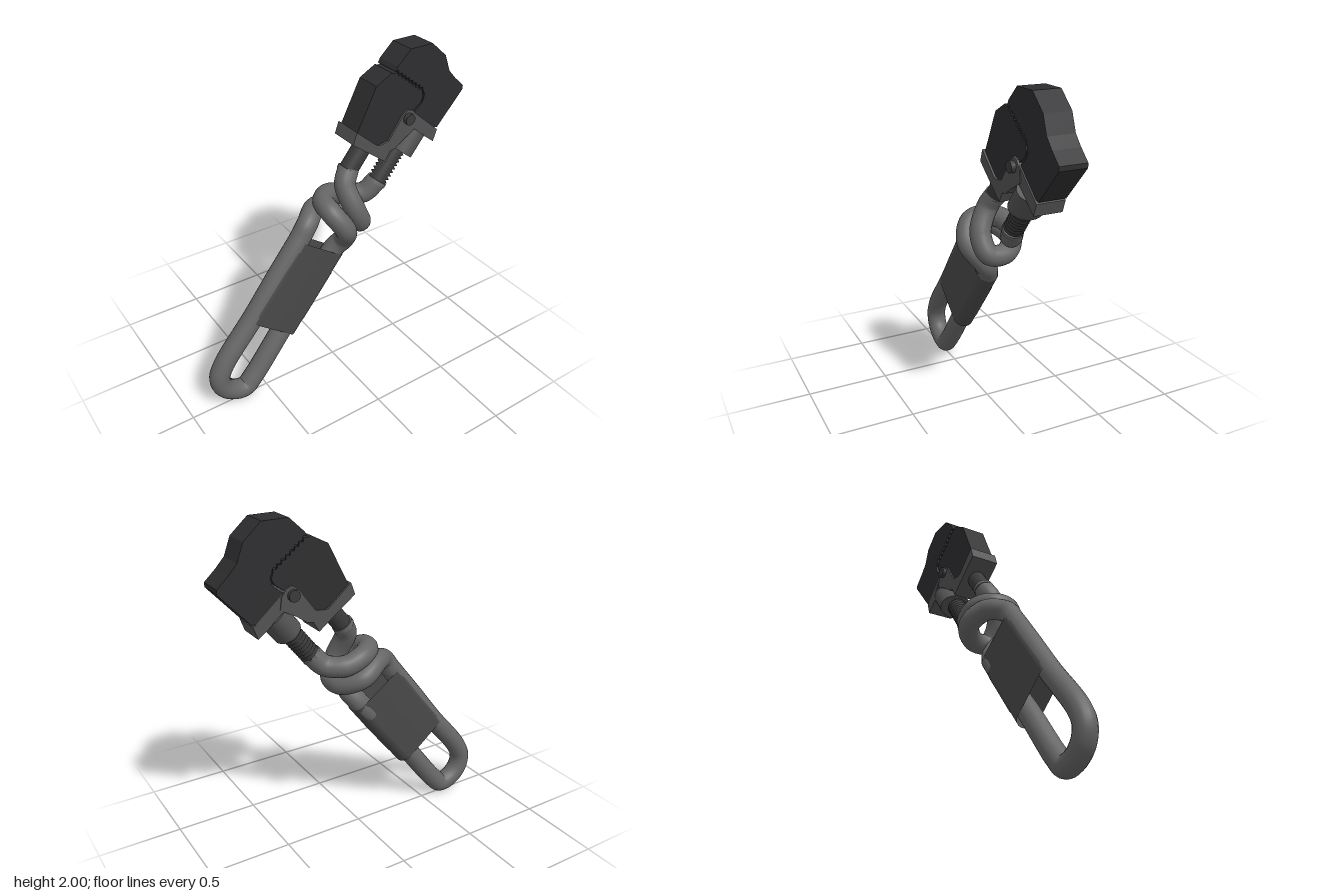
import * as THREE from 'three';

const V = (x, y, z = 0) => new THREE.Vector3(x, y, z);
const mat = (color, side = THREE.FrontSide) => new THREE.MeshStandardMaterial({ color, side });
const PIPE = mat(0x666666), JAW = mat(0x2e2e30), STEEL = mat(0x525252), DARK = mat(0x3a3a3a);
const TAPE = mat(0x484848, THREE.DoubleSide);
const LEAN = -0.668; // tilt of the whole tool

function part(parent, name, geometry, material) {
  const m = new THREE.Mesh(geometry, material);
  m.name = name;
  parent.add(m);
  return m;
}

// flat outline with thickness, centred on z
function plate(points, depth, z = -0.006) {
  const g = new THREE.ExtrudeGeometry(new THREE.Shape(points.map(p => new THREE.Vector2(...p))),
    { depth, bevelEnabled: false });
  return g.translate(0, 0, z - depth / 2);
}

// rod between two points
function rod(parent, name, a, b, r, material, geometry) {
  const d = b.clone().sub(a);
  const m = part(parent, name, geometry || new THREE.CylinderGeometry(r, r, d.length(), 24), material);
  m.position.copy(a).add(b).multiplyScalar(0.5);
  m.quaternion.setFromUnitVectors(V(0, 1, 0), d.normalize());
  return m;
}

// zigzag from a to b, shifted along its normal
function teeth(a, b, n, amp, shift) {
  const dx = b[0] - a[0], dy = b[1] - a[1], l = Math.hypot(dx, dy);
  const nx = -dy / l, ny = dx / l, pts = [];
  for (let i = 0; i <= 2 * n; i++) {
    const t = i / (2 * n), h = shift + (i % 2 ? amp : 0);
    pts.push([a[0] + dx * t + nx * h, a[1] + dy * t + ny * h]);
  }
  return pts;
}

// one turn of tape: a stadium-shaped sleeve with slanted ends
function tapeBand(lowL, highL, lowR, highR, r) {
  const g = new THREE.CylinderGeometry(1, 1, 1, 40, 1, true), p = g.attributes.position;
  for (let i = 0; i < p.count; i++) {
    const c = p.getX(i), s = p.getZ(i), top = p.getY(i) > 0;
    const x = (Math.abs(c) < 1e-6 ? 0 : Math.sign(c) * 0.131) + c * r;
    const t = (x + 0.2) / 0.4;
    p.setXYZ(i, x, THREE.MathUtils.lerp(top ? highL : lowL, top ? highR : lowR, t), s * r);
  }
  g.computeVertexNormals();
  return g;
}

export function createModel() {
  const root = new THREE.Group();
  root.name = 'wrench';

  // one bent pipe: left strand, knot, handle loop, knot, right strand
  const path = new THREE.CatmullRomCurve3([
    V(0.105, 1.345), V(0.065, 1.27, 0.03), V(0.095, 1.13, 0.09), V(0.15, 1.015, 0.065),
    V(0.145, 1.0, -0.04), V(0.05, 1.05, -0.13), V(-0.07, 1.105, -0.085), V(-0.165, 1.075, -0.01),
    V(-0.225, 1.0), V(-0.39, 0.79), V(-0.55, 0.58), V(-0.77, 0.31),
    V(-0.805, 0.22), V(-0.785, 0.14), V(-0.72, 0.08), V(-0.645, 0.065), V(-0.58, 0.125),
    V(-0.35, 0.42), V(-0.17, 0.63), V(0.005, 0.84), V(0.05, 0.92, 0.045),
    V(0.0, 1.05, 0.128), V(-0.06, 1.155, 0.075), V(-0.05, 1.175, -0.02), V(0.03, 1.165, -0.09),
    V(0.14, 1.13, -0.09), V(0.24, 1.135, -0.03), V(0.31, 1.205),
  ], false, 'centripetal');
  part(root, 'bentPipe', new THREE.TubeGeometry(path, 360, 0.062, 18), PIPE);

  // closed pipe ends and the plain shank
  rod(root, 'leftPipeEnd', V(0.095, 1.33), V(0.11, 1.352), 0.062, PIPE);
  rod(root, 'rightPipeEnd', V(0.30, 1.192), V(0.315, 1.211), 0.062, PIPE);
  rod(root, 'jawShank', V(0.1, 1.335), V(0.23, 1.5), 0.055, DARK);

  // threaded shank
  const a = V(0.30, 1.19), b = V(0.46, 1.395), len = a.distanceTo(b), profile = [], turns = 11;
  for (let i = 0; i <= turns * 2; i++)
    profile.push(new THREE.Vector2(i % 2 ? 0.06 : 0.045, (i / (turns * 2) - 0.5) * len));
  rod(root, 'threadedShank', a, b, 0, DARK, new THREE.LatheGeometry(profile, 24));

  // tape wound round both legs of the handle
  const tape = new THREE.Group();
  tape.name = 'handleTape';
  tape.position.set(-0.278, 0.69, 0);
  tape.rotation.z = LEAN;
  root.add(tape);
  [[-0.28, -0.10, -0.285, -0.10, 0.0655], [-0.24, 0.0, -0.16, -0.02, 0.068],
    [-0.09, 0.13, -0.02, 0.07, 0.0665], [0.0, 0.22, -0.03, 0.155, 0.068],
    [0.12, 0.27, 0.04, 0.29, 0.0655]].forEach(v => part(tape, 'tapeBand', tapeBand(...v), TAPE));

  // jaws with matching teeth
  const t0 = [0.358, 1.89], t1 = [0.562, 1.732];
  part(root, 'upperJaw', plate([
    ...teeth(t0, t1, 8, 0.016, 0.005), [0.577, 1.71], [0.565, 1.665], [0.512, 1.622], [0.49, 1.56],
    [0.52, 1.52], [0.69, 1.475], [0.865, 1.67], [0.865, 1.695], [0.80, 1.755], [0.75, 1.81],
    [0.712, 1.91], [0.61, 2.0], [0.46, 2.0], [0.375, 1.92]], 0.158, -0.01), JAW);
  part(root, 'lowerJaw', plate([
    ...teeth(t0, t1, 8, 0.016, -0.006), [0.567, 1.70], [0.552, 1.668], [0.50, 1.628], [0.44, 1.58],
    [0.32, 1.43], [0.12, 1.57], [0.115, 1.60], [0.235, 1.84], [0.335, 1.893]], 0.152), JAW);

  // collar holding the lower jaw, reaching up to the pivot
  part(root, 'jawCollar', plate([
    [0.105, 1.61], [0.08, 1.54], [0.305, 1.37], [0.34, 1.43], [0.375, 1.435], [0.44, 1.48], [0.53, 1.53],
    [0.52, 1.60], [0.49, 1.64], [0.455, 1.652], [0.415, 1.62], [0.325, 1.495], [0.27, 1.485],
    [0.245, 1.49]], 0.176), STEEL);
  part(root, 'upperJawFlange', plate([
    [0.50, 1.625], [0.685, 1.465], [0.66, 1.395], [0.45, 1.555]], 0.166), STEEL);

  // oval boss around the threaded shank
  const boss = rod(root, 'shankBoss', V(0.452, 1.372), V(0.545, 1.49), 0.082, STEEL);
  boss.scale.z = 1.3;

  // pivot pin with a head on each side
  const pin = part(root, 'pivotPin', new THREE.CylinderGeometry(0.033, 0.033, 0.225, 12), DARK);
  pin.position.set(0.455, 1.6, -0.004);
  pin.rotation.x = Math.PI / 2;
  return root;
}
